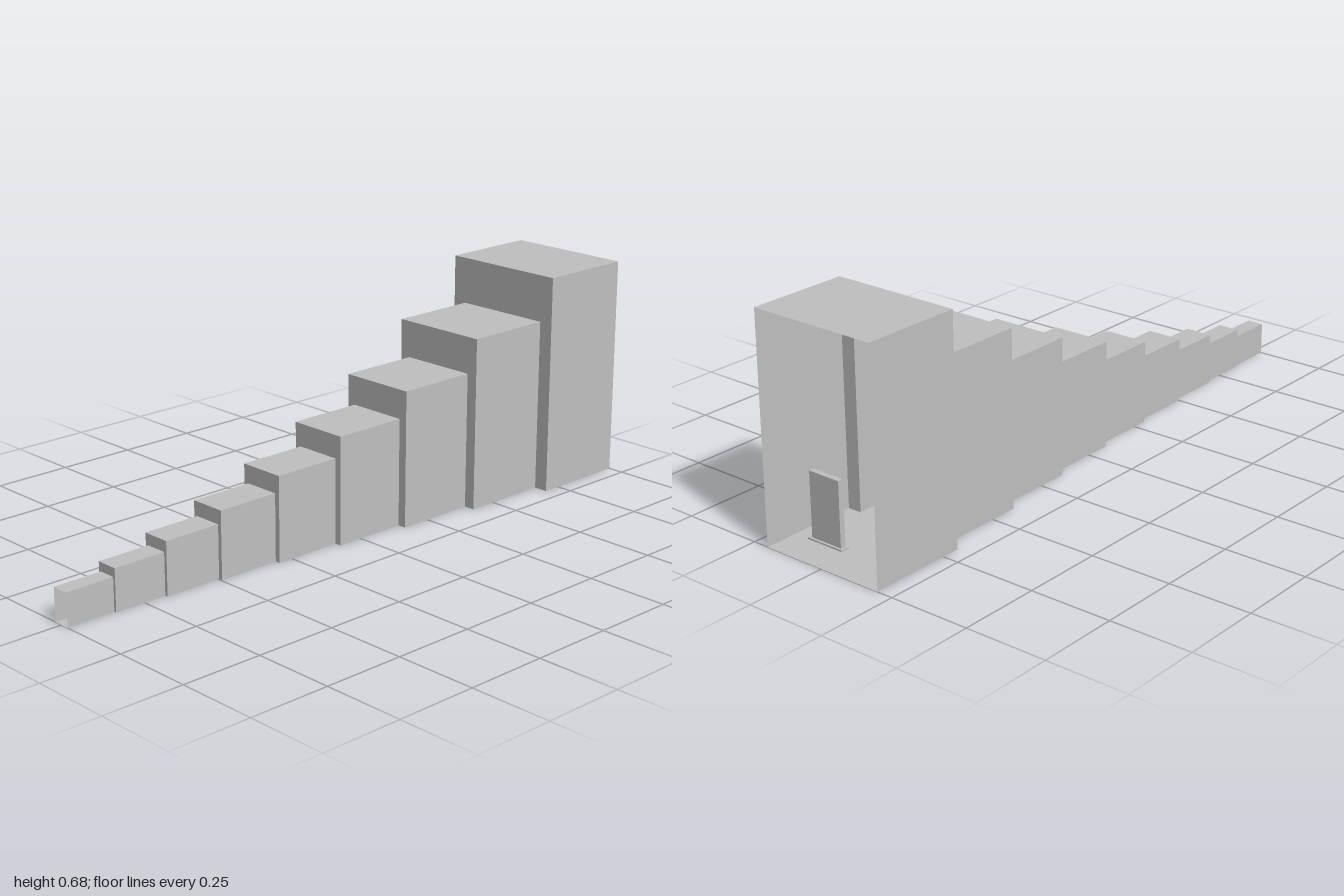
import * as THREE from 'three';

const COUNT = 9;

// Open-ended tube: a box without its front and back faces
function sleeve(w, h, d) {
  const g = new THREE.BoxGeometry(w, h, d);
  g.setIndex(Array.from(g.index.array).slice(0, 24));
  g.clearGroups();
  return g;
}

// Step face joining a small opening to a larger one, both standing on the floor
function stepFace(a, ha, b, hb) {
  const pts = [[-b, 0], [-a, 0], [-a, ha], [a, ha], [a, 0], [b, 0], [b, hb], [-b, hb]];
  return new THREE.ShapeGeometry(new THREE.Shape(pts.map(p => new THREE.Vector2(...p))));
}

export function createModel() {
  const root = new THREE.Group();
  root.name = 'steppedCorridor';
  const gray = new THREE.MeshStandardMaterial({ color: 0xc0c0c0, side: THREE.DoubleSide });
  gray.name = 'plain gray';

  const add = (parent, name, geometry, x, y, z) => {
    const m = new THREE.Mesh(geometry, gray);
    m.name = name;
    m.position.set(x, y, z);
    parent.add(m);
  };

  const half = i => 0.2 * Math.pow(1.286, i - 8);
  const tall = i => 0.676 * Math.pow(1.27, i - 8);
  const lengths = Array.from({ length: COUNT }, (_, i) => Math.pow(1.09, i));
  const unit = 2 / lengths.reduce((s, l) => s + l, 0);

  let z = 1;
  for (let i = 0; i < COUNT; i++) {
    const section = new THREE.Group();
    section.name = 'section' + (i + 1);
    root.add(section);
    const len = lengths[i] * unit, h = tall(i), w = half(i);

    // Walls, floor and roof
    add(section, 'sleeve', sleeve(2 * w, h, len), 0, h / 2, z - len / 2);
    if (i > 0) add(section, 'stepFace', stepFace(half(i - 1), tall(i - 1), w, h), 0, 0, z);

    // Standing panel on a thin base, alternating sides
    const t = i / 8, side = i % 2 ? -1 : 1;
    const inner = 0.007 * Math.pow(5, t), pw = 0.0178 * Math.pow(6, t);
    const ph = 0.06 * Math.pow(1.163, i), thick = pw * 0.16;
    const x = side * (inner + pw / 2), pz = z - len * 0.62;
    add(section, 'standingPanel', new THREE.BoxGeometry(pw, ph, thick), x, ph / 2, pz);
    const bh = 0.005 * Math.pow(6, t - 1);
    add(section, 'panelBase', new THREE.BoxGeometry(pw * 1.16, bh, thick * 1.8), x, bh / 2 + 0.0003, pz);

    z -= len;
  }
  return root;
}
